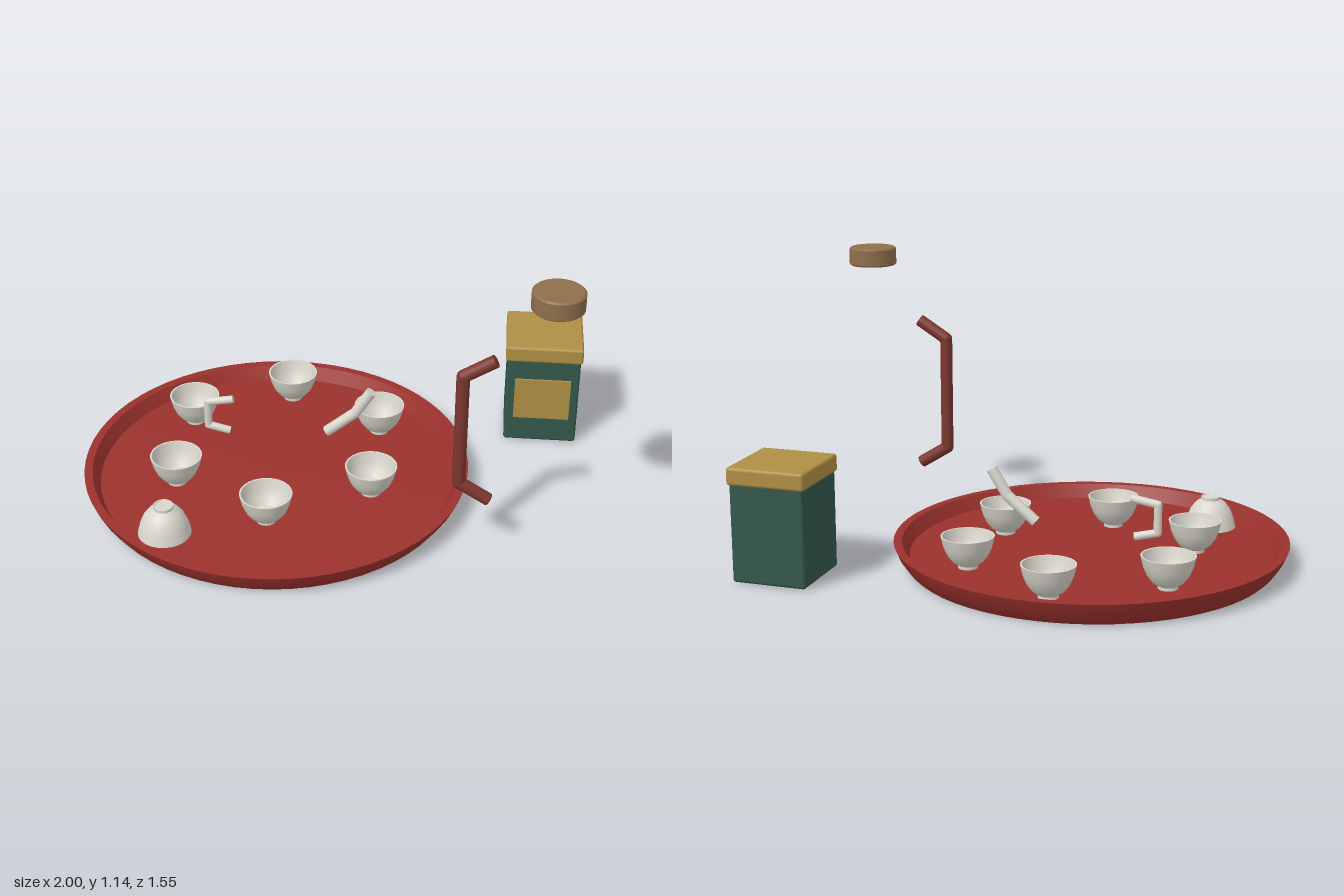
import * as THREE from 'three';
import { toCreasedNormals } from 'three/addons/utils/BufferGeometryUtils.js';
import { RoundedBoxGeometry } from 'three/addons/geometries/RoundedBoxGeometry.js';

const mat = (name, color) => {
  const m = new THREE.MeshStandardMaterial({ color });
  m.name = name;
  return m;
};

// Turned shape with crisp edges; profile runs from the bottom, up the outside, then down the inside
const turned = (profile, sides, crease = 0.6) =>
  toCreasedNormals(new THREE.LatheGeometry(profile.map(([r, y]) => new THREE.Vector2(r, y)), sides), crease);

export function createModel() {
  const group = new THREE.Group();
  const red = mat('red lacquer', 0x9c322d);
  const rosewood = mat('rosewood', 0x7d362f);
  const porcelain = mat('white porcelain', 0xd8d6cc);
  const green = mat('green tin', 0x34584c);
  const gold = mat('gold', 0xb08f46);
  const tan = mat('tan wood', 0x8f6e4b);

  const add = (name, geometry, material, x = 0, y = 0, z = 0, parent = group) => {
    const mesh = new THREE.Mesh(geometry, material);
    mesh.name = name;
    mesh.position.set(x, y, z);
    parent.add(mesh);
    return mesh;
  };

  // Bent rod: cylinders along the points, with round joints at the bends
  const bentRod = (name, points, radius, z, material) => {
    const rod = new THREE.Group();
    rod.name = name;
    const p = points.map(([x, y]) => new THREE.Vector3(x, y, z));
    for (let i = 0; i < p.length - 1; i++) {
      const dir = p[i + 1].clone().sub(p[i]);
      const mid = p[i].clone().add(p[i + 1]).multiplyScalar(0.5);
      const piece = add(name + 'Section', new THREE.CylinderGeometry(radius, radius, dir.length(), 16),
        material, mid.x, mid.y, mid.z, rod);
      piece.quaternion.setFromUnitVectors(new THREE.Vector3(0, 1, 0), dir.normalize());
      if (i > 0) add(name + 'Joint', new THREE.SphereGeometry(radius, 16, 10), material, p[i].x, p[i].y, z, rod);
    }
    group.add(rod);
  };

  // Round tray with a raised flat rim
  add('tray', turned([[0, 0], [0.715, 0], [0.728, 0.012], [0.758, 0.055], [0.775, 0.095],
    [0.742, 0.095], [0.713, 0.04], [0, 0.04]], 64, 0.5), red, -0.225, 0, 0);

  // Six cups in a ring, and one turned upside down
  const cup = turned([[0, 0.004], [0.032, 0.004], [0.034, 0], [0.039, 0], [0.039, 0.012],
    [0.06, 0.026], [0.08, 0.052], [0.094, 0.085], [0.104, 0.127],
    [0.097, 0.127], [0.087, 0.087], [0.073, 0.057], [0.052, 0.033], [0, 0.024]], 32);
  for (let i = 0; i < 6; i++) {
    const a = Math.PI / 6 + (i * Math.PI) / 3;
    add('cup', cup, porcelain, -0.225 + 0.452 * Math.cos(a), 0.04, -0.117 + 0.452 * Math.sin(a));
  }
  add('upturnedCup', cup, porcelain, -0.606, 0.167, 0.45).rotation.x = Math.PI;

  // Loose pot handle and spout above the tray
  bentRod('potHandle', [[-0.415, 0.302], [-0.52, 0.285], [-0.52, 0.173], [-0.43, 0.151]], 0.016, -0.115, porcelain);
  bentRod('potSpout', [[-0.033, 0.172], [0.083, 0.268], [0.147, 0.371]], 0.022, -0.115, porcelain);

  // Large kettle handle and floating wooden lid
  bentRod('kettleHandle', [[0.632, 0.842], [0.516, 0.77], [0.516, 0.303], [0.632, 0.23]], 0.025, 0.38, rosewood);
  add('woodenLid', turned([[0, 0], [0.09, 0], [0.097, 0.006], [0.097, 0.069], [0.09, 0.075], [0, 0.075]], 32),
    tan, 0.838, 1.067, 0.38);

  // Square tea tin with its lid and front label
  add('tinBody', new RoundedBoxGeometry(0.3, 0.4, 0.3, 3, 0.012), green, 0.84, 0.205, -0.533);
  add('tinLid', new RoundedBoxGeometry(0.316, 0.07, 0.316, 3, 0.012), gold, 0.84, 0.422, -0.533);
  add('tinLabel', new THREE.BoxGeometry(0.23, 0.185, 0.009), gold, 0.84, 0.213, -0.379);

  return group;
}
